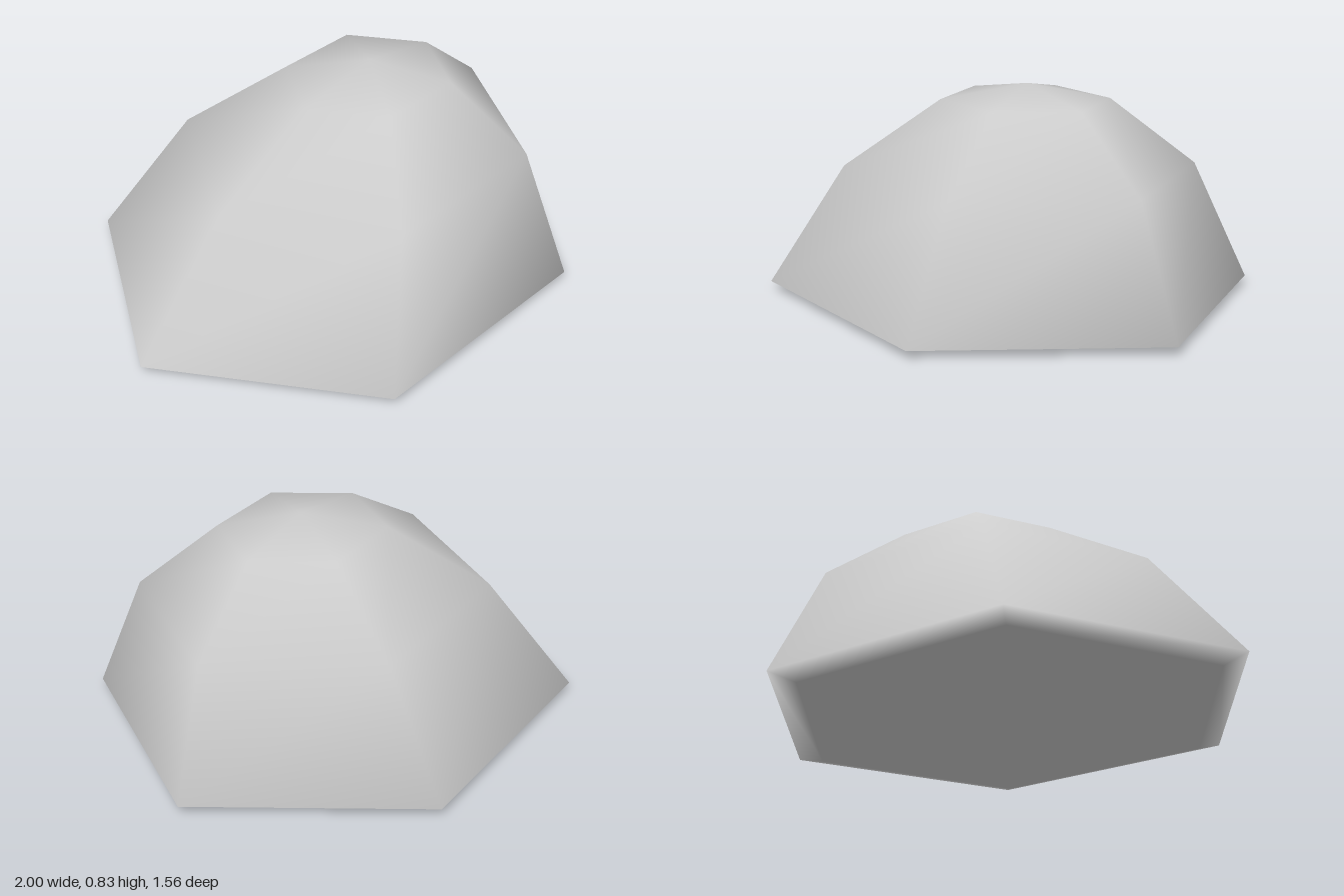
import * as THREE from 'three';

// Rings from bottom to top: [height, radius, centre x, centre z]
const RINGS = [
  [0, 0.89, -0.01, 0],
  [0.03, 1, 0, 0],
  [0.51, 0.715, 0.105, 0.025],
  [0.77, 0.34, 0.16, 0.04],
];
const APEX = [0.17, 0.83, 0.04];
const SIDES = 6;
const DEPTH = 0.9; // the hexagon is slightly squashed in z

function domeGeometry() {
  const points = [];
  const index = [];

  for (const [y, r, cx, cz] of RINGS) {
    for (let i = 0; i < SIDES; i++) {
      const a = (i / SIDES) * Math.PI * 2;
      points.push(cx + r * Math.cos(a), y, cz + r * DEPTH * Math.sin(a));
    }
  }
  const apex = points.length / 3;
  points.push(...APEX);
  const base = apex + 1;
  points.push(RINGS[0][2], 0, RINGS[0][3]);

  const top = (RINGS.length - 1) * SIDES;
  for (let i = 0; i < SIDES; i++) {
    const j = (i + 1) % SIDES;
    // Side bands
    for (let k = 0; k < top; k += SIDES) {
      const a = k + i, b = k + j, c = a + SIDES, d = b + SIDES;
      index.push(a, c, b, b, c, d);
    }
    // Cap and underside
    index.push(top + i, apex, top + j);
    index.push(i, j, base);
  }

  const geometry = new THREE.BufferGeometry();
  geometry.setAttribute('position', new THREE.Float32BufferAttribute(points, 3));
  geometry.setIndex(index);
  geometry.computeVertexNormals(); // shared corners give the smooth shading
  return geometry;
}

export function createModel() {
  const stone = new THREE.MeshStandardMaterial({ color: 0xcccccc });
  stone.name = 'light grey';

  const dome = new THREE.Mesh(domeGeometry(), stone);
  dome.name = 'dome';

  const model = new THREE.Group();
  model.name = 'hexagonalDome';
  model.add(dome);
  return model;
}
